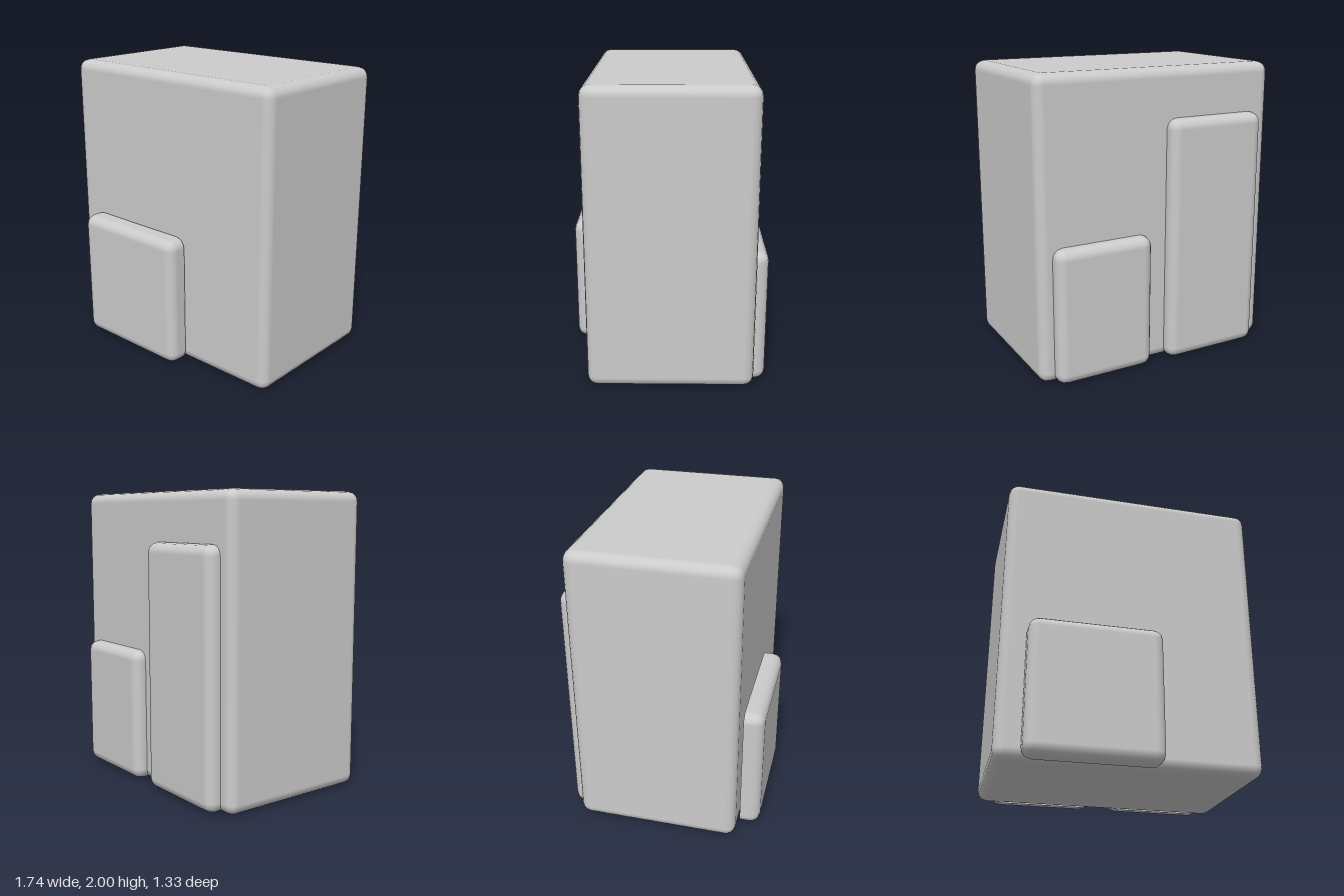
import * as THREE from 'three';
import { RoundedBoxGeometry } from 'three/addons/geometries/RoundedBoxGeometry.js';

const BEVEL = 0.07;

// Rounded panel with a bevelled front at z = depth, cut open at its back, z = 0
function panelGeometry(width, height, depth) {
  const box = new RoundedBoxGeometry(width, height, depth * 2, 2, BEVEL);
  const source = box.index ? box.toNonIndexed() : box;
  const p = source.attributes.position, n = source.attributes.normal;
  const positions = [], normals = [];
  for (let i = 0; i < p.count; i += 3) {
    const corners = [i, i + 1, i + 2];
    if (corners.every((c) => p.getZ(c) < 0)) continue;
    for (const c of corners) {
      positions.push(p.getX(c), p.getY(c), Math.max(p.getZ(c), 0));
      normals.push(n.getX(c), n.getY(c), n.getZ(c));
    }
  }
  const geometry = new THREE.BufferGeometry();
  geometry.setAttribute('position', new THREE.Float32BufferAttribute(positions, 3));
  geometry.setAttribute('normal', new THREE.Float32BufferAttribute(normals, 3));
  return geometry;
}

export function createModel() {
  const group = new THREE.Group();
  const solid = new THREE.MeshStandardMaterial({ color: 0xcccccc });
  const shell = new THREE.MeshStandardMaterial({ color: 0xcccccc, side: THREE.DoubleSide });

  // Main block
  const body = new THREE.Mesh(new RoundedBoxGeometry(1.74, 2, 1.1, 2, BEVEL), solid);
  body.name = 'body';
  body.position.set(0, 1, -0.03);
  group.add(body);

  // Panels standing on the ground against the front and the back
  const addPanel = (name, x0, x1, height, depth, z, turn) => {
    const panel = new THREE.Mesh(panelGeometry(x1 - x0, height, depth), shell);
    panel.name = name;
    panel.position.set((x0 + x1) / 2, height / 2, z);
    panel.rotation.y = turn;
    group.add(panel);
  };
  addPanel('frontPanel', -0.705, 0.18, 0.907, 0.133, 0.53, 0);
  addPanel('tallBackPanel', -0.767, -0.05, 1.67, 0.133, -0.53, Math.PI);
  addPanel('shortBackPanel', 0.082, 0.777, 0.917, 0.133, -0.53, Math.PI);

  return group;
}
